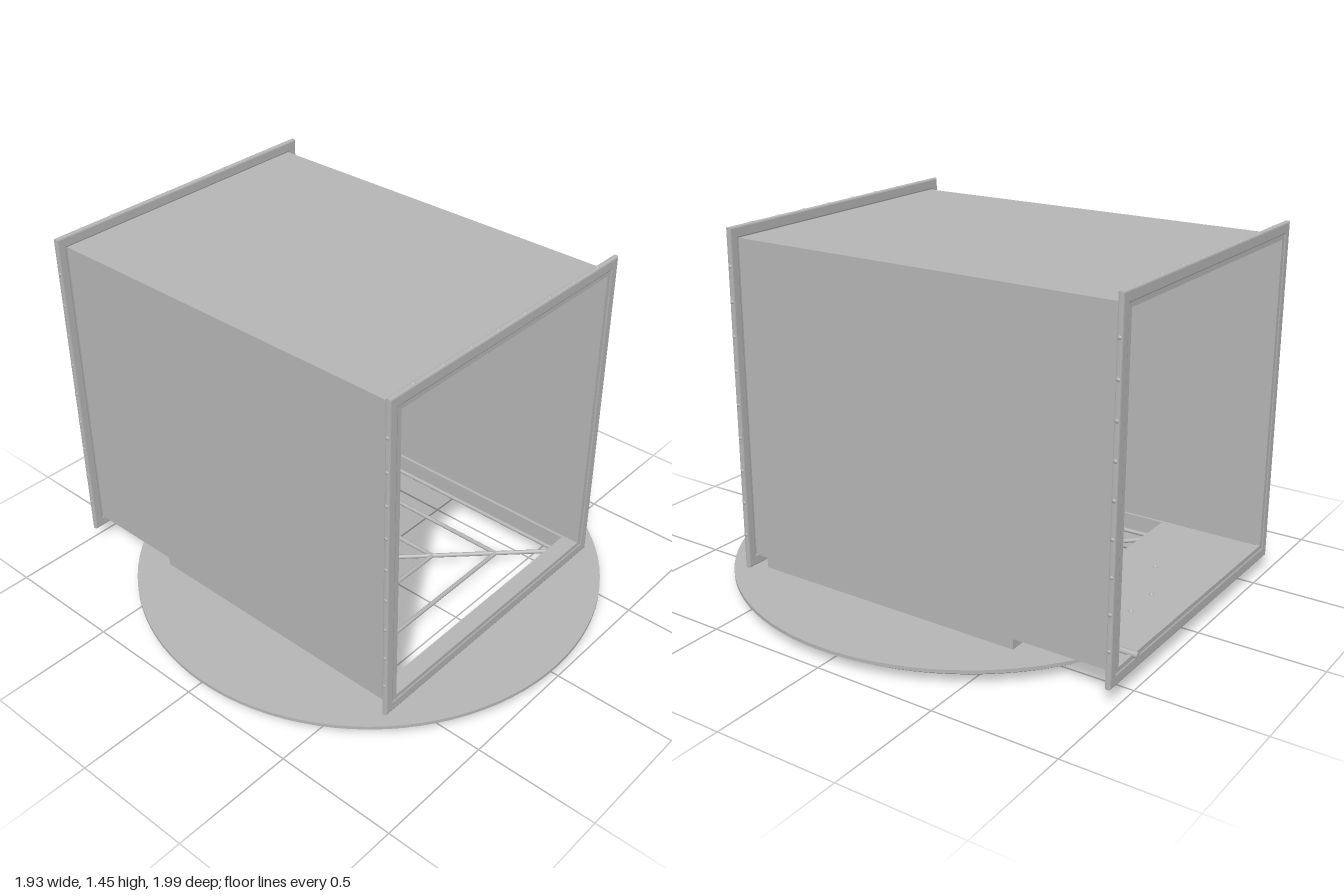
import * as THREE from 'three';

const CZ = 0.03; // z of the round base and of the square neck

function rectPath(target, w, h, cx = 0, cy = 0) {
  target.moveTo(cx - w, cy - h);
  target.lineTo(cx + w, cy - h);
  target.lineTo(cx + w, cy + h);
  target.lineTo(cx - w, cy + h);
  target.closePath();
  return target;
}

// Extruded rectangle (half sizes) with a rectangular hole
function frameGeometry(w, h, iw, ih, depth, bevel = 0) {
  const shape = rectPath(new THREE.Shape(), w - bevel, h - bevel);
  shape.holes.push(rectPath(new THREE.Path(), iw + bevel, ih + bevel));
  const geo = new THREE.ExtrudeGeometry(shape, {
    depth: depth - 2 * bevel, bevelEnabled: bevel > 0,
    bevelSize: bevel, bevelThickness: bevel, bevelSegments: 2,
  });
  return geo.translate(0, 0, bevel);
}

export function createModel() {
  const model = new THREE.Group();
  const steel = new THREE.MeshStandardMaterial({ color: 0xb4b4b4 });
  steel.name = 'galvanised steel';

  function add(name, geo, x = 0, y = 0, z = 0, parent = model) {
    const mesh = new THREE.Mesh(geo, steel);
    mesh.name = name;
    mesh.position.set(x, y, z);
    parent.add(mesh);
    return mesh;
  }

  // Duct walls and ceiling
  const z0 = -0.97, z1 = 0.67, len = z1 - z0, zc = (z0 + z1) / 2;
  for (const s of [-1, 1]) {
    add('ductSideWall', new THREE.BoxGeometry(0.012, 1.29, len), s * 0.594, 0.755, zc);
  }
  add('ductCeiling', new THREE.BoxGeometry(1.18, 0.012, len), 0, 1.394, zc);

  // Duct floor with the square opening (shape y becomes -z)
  const floor = rectPath(new THREE.Shape(), 0.59, len / 2, 0, -zc);
  floor.holes.push(rectPath(new THREE.Path(), 0.575, 0.575, 0, -CZ));
  const floorGeo = new THREE.ExtrudeGeometry(floor, { depth: 0.012, bevelEnabled: false });
  add('ductFloor', floorGeo.rotateX(-Math.PI / 2), 0, 0.11, 0);

  // End flanges with rivets around their outer edge
  const rivet = new THREE.SphereGeometry(0.01, 10, 6);
  for (const [name, z] of [['frontFlange', 0.66], ['backFlange', -0.985]]) {
    const flange = new THREE.Group();
    flange.name = name;
    model.add(flange);
    add('flangeRim', frameGeometry(0.645, 0.69, 0.605, 0.645, 0.022, 0.006), 0, 0.755, z, flange);
    add('flangeLip', frameGeometry(0.608, 0.648, 0.585, 0.628, 0.016), 0, 0.755, z + 0.003, flange);
    for (const s of [-1, 1]) {
      for (let i = 0; i < 8; i++) {
        add('flangeRivet', rivet, -0.52 + i * 0.1486, 0.755 + s * 0.684, z + 0.011, flange);
      }
      for (let i = 0; i < 9; i++) {
        add('flangeRivet', rivet, s * 0.639, 0.21 + i * 0.136, z + 0.011, flange);
      }
    }
  }

  // Square neck between the duct and the base
  const neck = frameGeometry(0.587, 0.587, 0.575, 0.575, 0.06).rotateX(-Math.PI / 2);
  add('neck', neck, 0, 0.052, CZ);

  // Round base plate with a square opening
  const plate = new THREE.Shape().absarc(0, 0, 0.837, 0, Math.PI * 2);
  plate.holes.push(rectPath(new THREE.Path(), 0.575, 0.575));
  const plateGeo = new THREE.ExtrudeGeometry(plate, { depth: 0.009, bevelEnabled: false, curveSegments: 48 });
  add('basePlate', plateGeo.rotateX(-Math.PI / 2), 0, 0.05, CZ);

  // Base ring, chamfered toward the bottom, built from straight bands
  const ring = new THREE.Group();
  ring.name = 'baseRing';
  model.add(ring);
  const profile = [[0.835, 0.028], [0.935, 0.028], [0.963, 0.046], [0.963, 0.06], [0.835, 0.06], [0.835, 0.028]];
  for (let i = 0; i < profile.length - 1; i++) {
    const band = [profile[i], profile[i + 1]].map((p) => new THREE.Vector2(...p));
    add('ringBand', new THREE.LatheGeometry(band, 96), 0, 0, CZ, ring);
  }

  // Bolts under the ring
  const bolt = new THREE.SphereGeometry(0.016, 12, 8);
  for (let i = 0; i < 36; i++) {
    const a = (i / 36) * Math.PI * 2;
    add('ringBolt', bolt, 0.9 * Math.sin(a), 0.029, CZ + 0.9 * Math.cos(a), ring);
  }

  // Grille: diagonals, concentric squares and a hub
  const grille = new THREE.Group();
  grille.name = 'grille';
  grille.position.set(0, 0.05, CZ);
  model.add(grille);
  for (const s of [-1, 1]) {
    const bar = add('diagonalBar', new THREE.CylinderGeometry(0.009, 0.009, 1.63, 10).rotateX(Math.PI / 2), 0, 0, 0, grille);
    bar.rotation.y = s * Math.PI / 4;
  }
  for (const r of [0.19, 0.38, 0.565]) {
    for (let i = 0; i < 4; i++) {
      const geo = new THREE.CylinderGeometry(0.009, 0.009, 2 * r, 10).rotateZ(Math.PI / 2);
      add('squareBar', geo.translate(0, 0, r).rotateY(i * Math.PI / 2), 0, 0, 0, grille);
    }
  }
  add('hub', new THREE.CylinderGeometry(0.055, 0.055, 0.022, 24), 0, 0, 0, grille);

  // Pull ring hanging under the rear edge of the opening
  add('pullRing', new THREE.TorusGeometry(0.014, 0.004, 8, 20).rotateY(Math.PI / 2), 0, 0.018, -0.51);
  add('pullRingStem', new THREE.CylinderGeometry(0.004, 0.004, 0.025, 8), 0, 0.044, -0.51);

  // Low disc and rod on the rear floor, with floor rivets beside it
  add('floorDisc', new THREE.CylinderGeometry(0.08, 0.1, 0.014, 32), 0.48, 0.129, -0.54);
  add('floorRod', new THREE.CylinderGeometry(0.012, 0.012, 0.45, 10).rotateX(Math.PI / 2), 0.48, 0.128, -0.775);
  for (const [x, z] of [[0.2, -0.82], [0.04, -0.82], [0.04, -0.66], [-0.18, -0.72]]) {
    add('floorRivet', rivet, x, 0.121, z);
  }
  return model;
}
